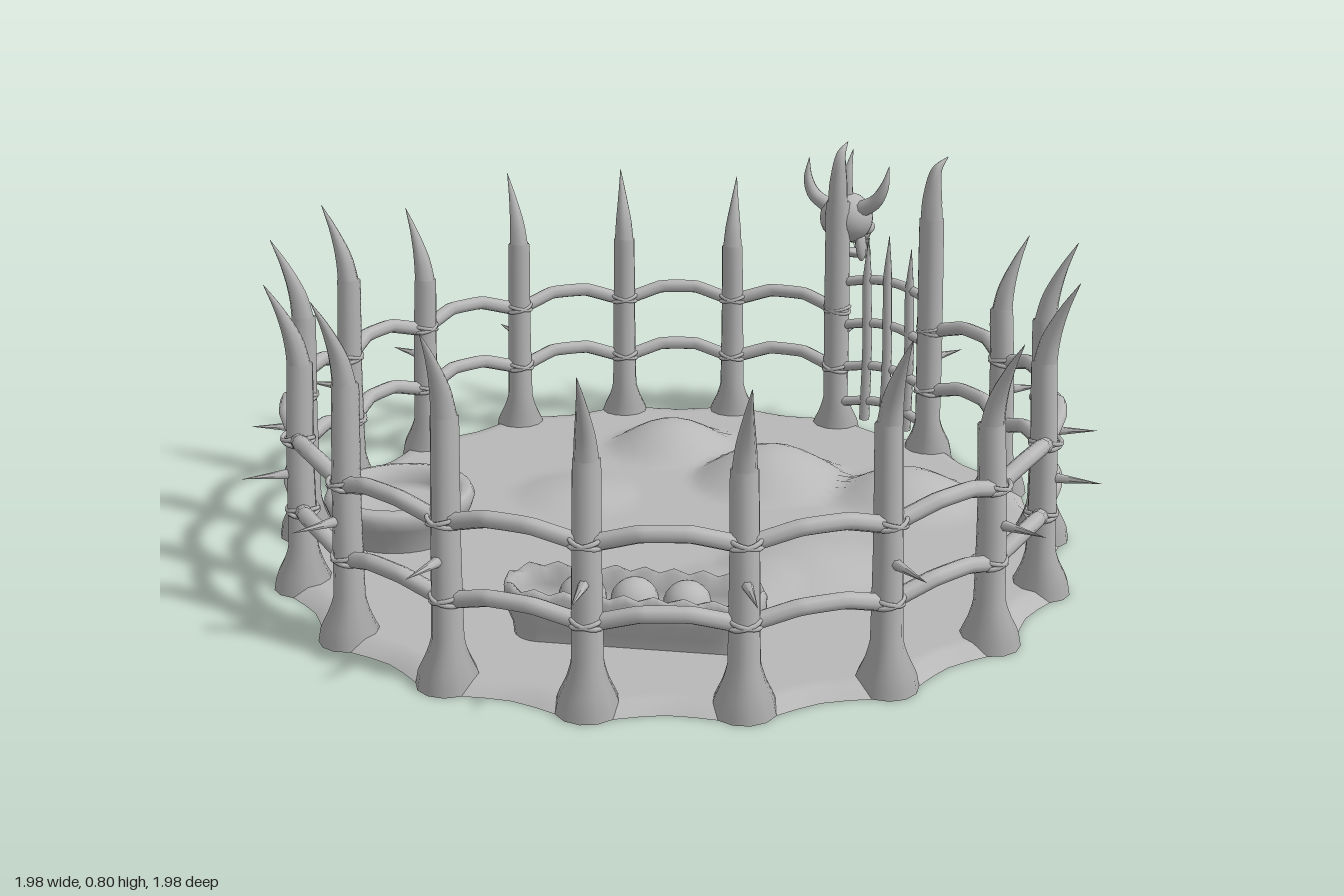
import * as THREE from 'three';

const stone = new THREE.MeshStandardMaterial({ color: 0xb8b8b8 });
stone.name = 'pale grey';

const DEG = Math.PI / 180;
const STEP = 20 * DEG;
const RING_Z = 0.01;

function add(parent, name, geometry, x = 0, y = 0, z = 0) {
  const mesh = new THREE.Mesh(geometry, stone);
  mesh.name = name;
  mesh.position.set(x, y, z);
  parent.add(mesh);
  return mesh;
}

// Tube through [x, y, z, radius] points, its radius following the points
function taper(points, sides = 10, segments = 20) {
  const curve = new THREE.CatmullRomCurve3(points.map(p => new THREE.Vector3(p[0], p[1], p[2])));
  const geo = new THREE.TubeGeometry(curve, segments, 1, sides, false);
  const pos = geo.attributes.position, nor = geo.attributes.normal;
  for (let i = 0; i < pos.count; i++) {
    const u = Math.floor(i / (sides + 1)) / segments;
    const t = curve.getUtoTmapping(u) * (points.length - 1);
    const k = Math.min(Math.floor(t), points.length - 2);
    const r = THREE.MathUtils.lerp(points[k][3], points[k + 1][3], t - k);
    pos.setXYZ(i, pos.getX(i) + nor.getX(i) * (r - 1), pos.getY(i) + nor.getY(i) * (r - 1), pos.getZ(i) + nor.getZ(i) * (r - 1));
  }
  return geo;
}

// Ground: lobed disc with soft mounds
const mounds = [ // x, z, radius, height
  [-0.37, -0.42, 0.17, 0.07], [-0.02, -0.4, 0.2, 0.085], [0.31, -0.52, 0.18, 0.07],
  [-0.32, 0.0, 0.16, 0.025], [0.37, -0.02, 0.2, 0.035], [0.33, 0.18, 0.16, 0.02],
];
function groundHeight(x, z) {
  let y = 0.022;
  for (const [mx, mz, r, h] of mounds) {
    const d = ((x - mx) ** 2 + (z - mz) ** 2) / (r * r);
    y += h * Math.max(0, 1 - d) ** 1.3;
  }
  return y;
}
function lobe(x, z, r) {
  const edge = THREE.MathUtils.smoothstep(r, 0.7, 0.9);
  return 1 + edge * 0.018 * Math.cos(18 * Math.atan2(z, x));
}
function buildGround(parent) {
  const top = new THREE.RingGeometry(0.001, 0.9, 108, 30).rotateX(-Math.PI / 2);
  const base = new THREE.CircleGeometry(0.9, 108).rotateX(Math.PI / 2);
  for (const geo of [top, base]) {
    const p = geo.attributes.position;
    for (let i = 0; i < p.count; i++) {
      const x = p.getX(i), z = p.getZ(i), r = Math.hypot(x, z), s = lobe(x, z, r);
      const y = geo === base || r > 0.895 ? 0 : groundHeight(x, z);
      p.setXYZ(i, x * s, y, z * s + RING_Z);
    }
    geo.computeVertexNormals();
  }
  add(parent, 'ground', top);
  add(parent, 'groundUnderside', base);
}

// Fence post with horn tip, wire bindings and outward spike (local +x points outward)
function buildPost(angle, tip, isGate) {
  const post = new THREE.Group();
  post.name = isGate ? 'gatePost' : 'fencePost';
  post.rotation.y = -angle;
  const h = tip - (isGate ? 0.15 : 0.18);
  const w = isGate ? 0.034 : 0.03;
  add(post, 'shaft', taper([
    [0.872, 0, 0, 0.066], [0.872, 0.03, 0, 0.06], [0.87, 0.065, 0, 0.043], [0.868, 0.1, 0, 0.033],
    [0.862, 0.3, 0, w], [0.85, h, 0, w - 0.002], [0.85, h + 0.012, 0, 0.001],
  ], 12, 40));
  add(post, 'horn', taper(isGate
    ? [[0.85, h - 0.03, 0, 0.029], [0.849, h + 0.05, 0, 0.025], [0.86, tip - 0.03, 0, 0.014], [0.9, tip, 0, 0.001]]
    : [[0.85, h - 0.02, 0, 0.027], [0.86, h + 0.05, 0, 0.021], [0.885, h + 0.12, 0, 0.01], [0.915, tip, 0, 0.0005]], 8, 14));
  add(post, 'spike', new THREE.ConeGeometry(0.016, 0.14, 6).rotateZ(-Math.PI / 2), 0.92, 0.27, 0);
  for (const y of [0.185, 0.35]) {
    for (const tilt of [-0.25, 0.25]) {
      const ring = add(post, 'binding', new THREE.TorusGeometry(0.034, 0.005, 6, 16).rotateX(Math.PI / 2), 0.864, y, 0);
      ring.rotation.x = tilt;
    }
  }
  return post;
}

// Horned skull hung on a gate post, facing outward
function buildSkull(post) {
  const skull = new THREE.Group();
  skull.name = 'skull';
  const ball = (name, x, y, z, sx, sy, sz, tilt = 0) => {
    const m = add(skull, name, new THREE.SphereGeometry(1, 18, 12), x, y, z);
    m.scale.set(sx, sy, sz);
    m.rotation.z = tilt;
  };
  ball('cranium', 0.905, 0.595, 0, 0.07, 0.068, 0.072);
  ball('snout', 0.95, 0.55, 0, 0.052, 0.034, 0.048, -0.35);
  ball('lowerJaw', 0.962, 0.485, 0, 0.058, 0.014, 0.042, -0.25);
  for (const s of [-1, 1]) {
    ball('jawHinge', 0.912, 0.52, s * 0.042, 0.022, 0.045, 0.012, 0.2);
    ball('cheek', 0.94, 0.565, s * 0.048, 0.028, 0.018, 0.016);
    const socket = add(skull, 'eyeSocket', new THREE.TorusGeometry(0.019, 0.007, 8, 14), 0.962, 0.61, s * 0.034);
    socket.rotation.y = Math.PI / 2 - s * 0.6;
    add(skull, 'sideHorn', taper([
      [0.89, 0.625, s * 0.05, 0.022], [0.89, 0.65, s * 0.09, 0.019],
      [0.895, 0.69, s * 0.112, 0.013], [0.91, 0.745, s * 0.118, 0.0005]], 8, 14));
    for (const [x, z] of [[0.985, 0.014], [0.97, 0.034]]) {
      const fang = add(skull, 'upperTooth', new THREE.ConeGeometry(0.007, 0.028, 6), x, 0.513, s * z);
      fang.rotation.z = Math.PI;
      add(skull, 'lowerTooth', new THREE.ConeGeometry(0.006, 0.024, 6), x + 0.012, 0.497, s * z);
    }
  }
  add(skull, 'browHorn', taper([[0.9, 0.64, 0, 0.02], [0.905, 0.71, 0, 0.014], [0.935, 0.775, 0, 0.0005]], 8, 12));
  post.add(skull);
}

// Kinked rails running from one gate post round to the other
function buildRail(parent, y) {
  const points = [];
  for (let k = 14; k <= 31; k++) {
    const spots = k < 31 ? [[0, 0.865, 0], [0.34, 0.878, 0.03], [0.66, 0.878, 0.03]] : [[0, 0.865, 0]];
    for (const [f, r, lift] of spots) {
      const a = (k + f) * STEP;
      points.push(new THREE.Vector3(r * Math.cos(a), y + lift, r * Math.sin(a)));
    }
  }
  const curve = new THREE.CatmullRomCurve3(points, false, 'catmullrom', 0.15);
  add(parent, 'rail', new THREE.TubeGeometry(curve, 306, 0.018, 8, false));
}

// Gate of pointed bars and crooked slats
function buildGate(parent) {
  const gate = new THREE.Group();
  gate.name = 'gate';
  for (const [x, tip] of [[-0.06, 0.56], [0.005, 0.575], [0.075, 0.55]]) {
    add(gate, 'gateBar', taper([
      [x, 0.05, -0.865, 0.014], [x + 0.004, 0.25, -0.862, 0.013],
      [x, tip - 0.11, -0.858, 0.012], [x, tip, -0.86, 0.0005]], 8, 16));
  }
  for (const y of [0.1, 0.2, 0.32, 0.44]) {
    add(gate, 'gateSlat', taper([
      [-0.135, y - 0.012, -0.85, 0.013], [-0.04, y + 0.006, -0.868, 0.013],
      [0.04, y + 0.006, -0.868, 0.013], [0.135, y - 0.012, -0.85, 0.013]], 8, 12));
  }
  parent.add(gate);
}

// Round basin with a rolled lip
function buildBasin(parent) {
  const profile = [[0.135, 0], [0.148, 0.05], [0.168, 0.085], [0.176, 0.11], [0.168, 0.128], [0.15, 0.132],
    [0.134, 0.12], [0.126, 0.095], [0.124, 0.075], [0, 0.075]].map(p => new THREE.Vector2(...p));
  add(parent, 'basin', new THREE.LatheGeometry(profile, 32), -0.475, 0, 0.445);
}

// Long trough with a scalloped rim, lofted from rounded-end loops, holding three balls
function buildTrough(parent) {
  const trough = new THREE.Group();
  trough.name = 'trough';
  const n = 80, half = 0.195;
  const layers = [[0.058, 0, 0], [0.064, 0.05, 0], [0.078, 0.085, 0], [0.08, 0.125, 0.005], [0.073, 0.14, 0.006],
    [0.063, 0.133, 0.005], [0.056, 0.1, 0], [0.052, 0.065, 0], [0.001, 0.062, 0]];
  const verts = [], index = [];
  layers.forEach(([r, y, wave], j) => {
    const outline = new THREE.Shape();
    outline.absarc(half, 0, r, -Math.PI / 2, Math.PI / 2, false);
    outline.absarc(-half, 0, r, Math.PI / 2, Math.PI * 1.5, false);
    outline.closePath();
    const loop = outline.getSpacedPoints(n);
    for (let i = 0; i < n; i++) {
      verts.push(loop[i].x, y + wave * Math.cos(i * Math.PI / 2), loop[i].y);
      if (j === layers.length - 1) continue;
      const a = j * n + i, b = j * n + (i + 1) % n;
      index.push(a, a + n, b, b, a + n, b + n);
    }
  });
  const geo = new THREE.BufferGeometry();
  geo.setAttribute('position', new THREE.Float32BufferAttribute(verts, 3));
  geo.setIndex(index);
  geo.computeVertexNormals();
  add(trough, 'troughBody', geo);
  for (const x of [-0.11, 0, 0.11]) add(trough, 'ball', new THREE.SphereGeometry(0.051, 18, 12), x, 0.1, 0);
  trough.position.set(0.32, 0, 0.5);
  trough.rotation.y = 32 * DEG;
  parent.add(trough);
}

export function createModel() {
  const model = new THREE.Group();
  model.name = 'beastPen';
  buildGround(model);

  const fence = new THREE.Group();
  fence.name = 'fence';
  fence.position.z = RING_Z;
  const tips = [0.66, 0.73, 0.67, 0.69, 0.74, 0.74, 0.7, 0.72, 0.73, 0.66, 0.71, 0.7, 0.68, 0.8, 0.8, 0.66, 0.72, 0.71];
  tips.forEach((tip, k) => {
    const post = buildPost(k * STEP, tip, k === 13 || k === 14);
    if (k === 13) buildSkull(post);
    fence.add(post);
  });
  for (const y of [0.18, 0.345]) buildRail(fence, y);
  buildGate(fence);
  model.add(fence);

  buildBasin(model);
  buildTrough(model);
  return model;
}
